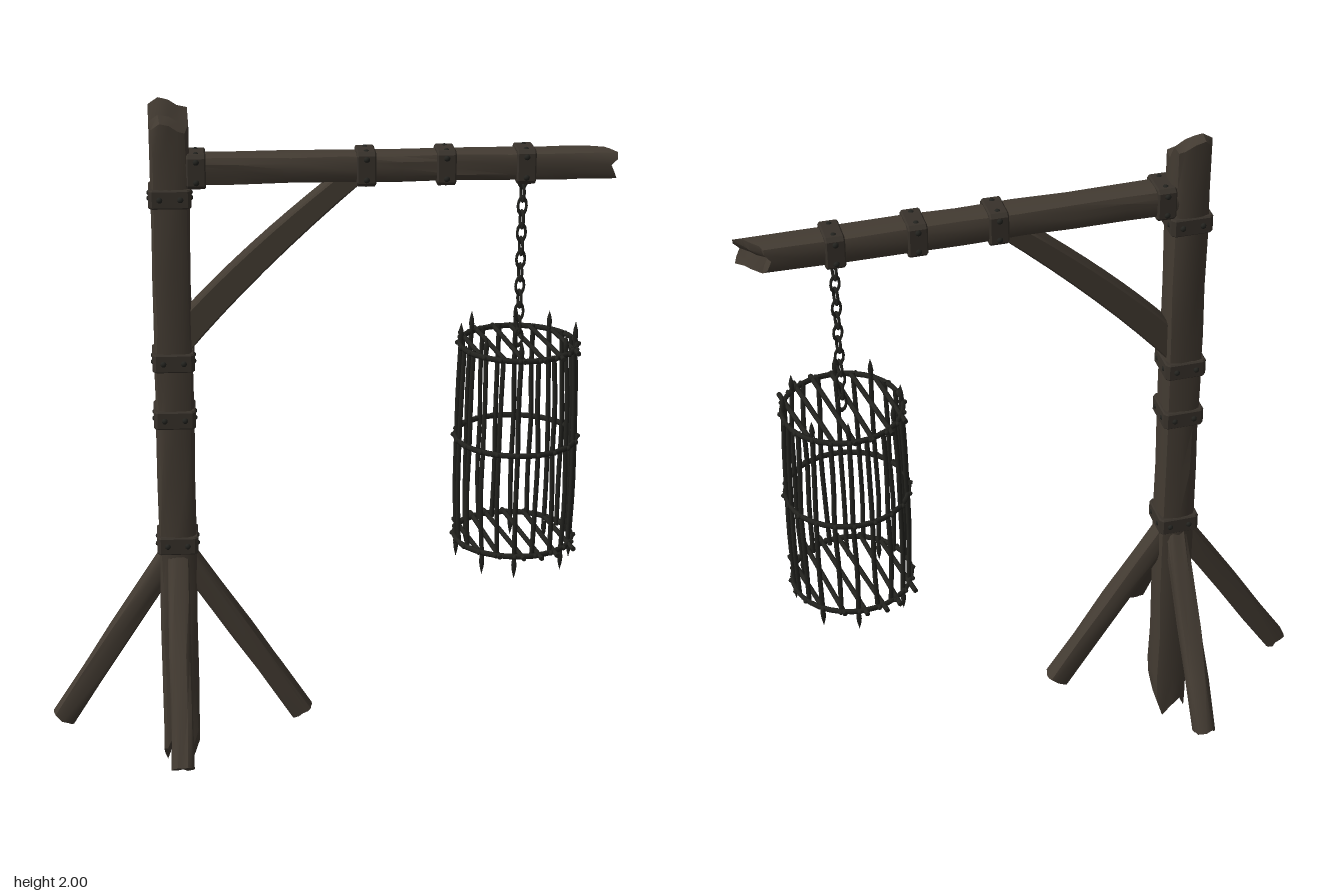
import * as THREE from 'three';
import { toCreasedNormals } from 'three/addons/utils/BufferGeometryUtils.js';

const material = (name, color) => {
  const m = new THREE.MeshStandardMaterial({ color });
  m.name = name;
  return m;
};
const V = (x, y, z) => new THREE.Vector3(x, y, z);
const UP = V(0, 1, 0);

// Repeatable noise in -1..1, the same for every vertex at one spot
function noise(x, y, z, seed) {
  const s = Math.sin(Math.round(x * 1000) * 12.99 + Math.round(y * 1000) * 78.23 + Math.round(z * 1000) * 37.72 + seed * 9.17) * 43758.5453;
  return 2 * (s - Math.floor(s)) - 1;
}
// Value from five steps across a face, for u in -1..1
const step = (table, u) => table[Math.round((u + 1) * 2)];

// Hewn timber along y: worn corners, uneven faces, optional broken ends
function timberGeometry(w, len, d, seed, topCut, bottomCut) {
  const g = new THREE.BoxGeometry(w, len, d, 4, Math.max(4, Math.round(len / 0.15)), 4);
  const p = g.attributes.position;
  for (let i = 0; i < p.count; i++) {
    const x = p.getX(i), y = p.getY(i), z = p.getZ(i);
    const u = (2 * x) / w, v = (2 * z) / d;
    const corner = Math.abs(u) > 0.99 && Math.abs(v) > 0.99 ? 0.86 : 1;
    let ny = y;
    if (y > len / 2 - 1e-4) ny -= topCut ? topCut(u, v) : 0.004 * (1 + noise(x, y, z, seed));
    if (y < -len / 2 + 1e-4) ny += bottomCut ? bottomCut(u, v) : 0.004 * (1 + noise(x, y, z, seed));
    p.setXYZ(i, x * corner + 0.0025 * noise(x, y, z, seed + 1), ny, z * corner + 0.0025 * noise(x, y, z, seed + 2));
  }
  return toCreasedNormals(g, 0.6);
}

export function createModel() {
  const model = new THREE.Group();
  model.name = 'hangingCage';
  const wood = material('darkWood', 0x433b32);
  const strap = material('strapIron', 0x38322b);
  const iron = material('blackIron', 0x23231f);

  const add = (parent, name, geo, mat, pos) => {
    const mesh = new THREE.Mesh(geo, mat);
    mesh.name = name;
    if (pos) mesh.position.copy(pos);
    parent.add(mesh);
    return mesh;
  };
  const group = (name) => {
    const g = new THREE.Group();
    g.name = name;
    model.add(g);
    return g;
  };
  const timber = (name, a, b, w, d, seed, topCut, bottomCut) => {
    const dir = b.clone().sub(a);
    const mesh = add(model, name, timberGeometry(w, dir.length(), d, seed, topCut, bottomCut), wood, a.clone().lerp(b, 0.5));
    mesh.quaternion.setFromUnitVectors(UP, dir.normalize());
  };

  // Post with split ends
  const PX = -0.421;
  timber('post', V(PX, 0, 0), V(PX, 2, 0), 0.103, 0.104, 3,
    (u, v) => step([0.018, 0, 0.006, 0.022, 0.028], u) + step([0.012, 0, 0.045, 0.035, 0.055], v),
    (u, v) => step([0.02, 0.06, 0.03, 0, 0.06], u) + step([0, 0.03, 0.045, 0.07, 0.08], v));

  // Cross beam with a splintered tip
  timber('beam', V(-0.39, 1.812, 0), V(0.787, 1.812, 0), 0.08, 0.088, 7,
    (u, v) => step([0.004, 0.006, 0.022, 0.012, 0.006], u) + step([0.065, 0.06, 0.035, 0.022, 0], v));

  // Gently bowed brace
  const braceShape = new THREE.Shape();
  braceShape.moveTo(-0.39, 1.29);
  braceShape.quadraticCurveTo(-0.19, 1.53, 0.108, 1.785);
  braceShape.lineTo(0.02, 1.785);
  braceShape.quadraticCurveTo(-0.225, 1.59, -0.39, 1.41);
  braceShape.closePath();
  const braceGeo = new THREE.ExtrudeGeometry(braceShape, {
    depth: 0.054, bevelEnabled: true, bevelSize: 0.005, bevelThickness: 0.005, bevelOffset: -0.005, bevelSegments: 1, curveSegments: 8,
  });
  add(model, 'brace', toCreasedNormals(braceGeo, 0.5), wood, V(0, 0, -0.027));

  // Four splayed legs
  [[1, 0], [-1, 0], [0, 1], [0, -1]].forEach(([sx, sz], i) => {
    const reach = sx > 0 ? 0.354 : 0.345;
    const a = V(PX + sx * 0.005, 0.72, sz * 0.005), b = V(PX + sx * reach, 0.187, sz * reach);
    timber('leg', a, b, sx ? 0.066 : 0.06, sx ? 0.06 : 0.066, 11 + i);
  });

  // Iron straps: a bevelled collar with two low rivets on each face
  const collarShape = (s, t) => {
    const c = 0.01, sh = new THREE.Shape();
    sh.setFromPoints([[-s + c, -t], [s - c, -t], [s, -t + c], [s, t - c], [s - c, t], [-s + c, t], [-s, t - c], [-s, -t + c]]
      .map(([x, y]) => new THREE.Vector2(x, y)));
    return sh;
  };
  const rivetGeo = new THREE.SphereGeometry(0.0085, 8, 6);
  function collar(name, pos, s, t) {
    const g = group(name);
    g.position.copy(pos);
    const geo = new THREE.ExtrudeGeometry(collarShape(s, t), {
      depth: 0.044, bevelEnabled: true, bevelSize: 0.004, bevelThickness: 0.004, bevelOffset: -0.004, bevelSegments: 1,
    });
    geo.translate(0, 0, -0.022).rotateX(-Math.PI / 2);
    add(g, 'strapBand', geo, strap);
    for (const e of [-0.028, 0.028]) for (const f of [-1, 1]) {
      add(g, 'rivet', rivetGeo, iron, V(e, 0, f * (t - 0.001)));
      add(g, 'rivet', rivetGeo, iron, V(f * (s - 0.004), 0, e));
    }
    return g;
  }
  for (const y of [0.74, 1.115, 1.28, 1.74]) collar('postStrap', V(PX, y, 0), 0.058, 0.058);
  for (const x of [-0.35, 0.105, 0.32, 0.535]) collar('beamStrap', V(x, 1.812, 0), 0.047, 0.052).rotation.z = -Math.PI / 2;

  // Chain of alternating links
  const CX = 0.533;
  const chain = group('chain');
  const linkGeo = new THREE.TorusGeometry(0.0125, 0.004, 6, 12).scale(1, 1.8, 1);
  for (let i = 0; i < 13; i++) {
    add(chain, 'chainLink', linkGeo, iron, V(CX, 1.318 + i * 0.0375, 0)).rotation.y = (i % 2) * Math.PI / 2 + 0.25;
  }

  // Cage hoops
  const cage = group('cage');
  cage.position.x = CX;
  for (const [y, r] of [[0.73, 0.168], [1.03, 0.17], [1.302, 0.163]]) {
    const hoop = add(cage, 'cageHoop', new THREE.TorusGeometry(r, 0.0065, 6, 32), iron, V(0, y, 0));
    hoop.rotation.x = Math.PI / 2;
    hoop.scale.z = 1.25;
  }

  // Bowed upright bars, two in every five running out into spikes
  const spikeGeo = new THREE.LatheGeometry(
    [[0.006, 0], [0.008, 0.02], [0.006, 0.036], [0, 0.06]].map(([x, y]) => new THREE.Vector2(x, y)), 6);
  const bars = 20;
  for (let i = 0; i < bars; i++) {
    const a = ((i + 0.3) / bars) * Math.PI * 2;
    const at = (y, r, k) => {
      const t = a + 0.025 * noise(i, k, 0, 5);
      return V(Math.cos(t) * r, y, Math.sin(t) * r);
    };
    const pts = [at(0.72, 0.161, 1), at(0.87, 0.167, 2), at(1.03, 0.166, 3), at(1.17, 0.164, 4), at(1.31, 0.158, 5)];
    add(cage, 'cageBar', new THREE.TubeGeometry(new THREE.CatmullRomCurve3(pts), 10, 0.0068, 6), iron);
    if (i % 5 === 0 || i % 5 === 2) {
      add(cage, 'topSpike', spikeGeo, iron, pts[4]).scale.y = 0.9 + 0.12 * noise(i, 1, 1, 2);
      add(cage, 'bottomSpike', spikeGeo, iron, pts[0]).rotation.x = Math.PI;
    }
    // Rivets where the bars meet the hoops
    for (const [y, r] of [[0.73, 0.173], [1.03, 0.175], [1.302, 0.168]]) {
      add(cage, 'hoopRivet', rivetGeo, iron, at(y, r, 9)).scale.setScalar(0.8);
    }
  }

  // Slanted grate bars across floor and roof
  for (const [y, over] of [[0.73, 0.024], [1.302, 0.008]]) {
    for (let i = 0; i < 6; i++) {
      const off = (i - 2.5) * 0.053;
      const half = Math.sqrt(0.168 ** 2 - off ** 2) + over;
      const bar = add(cage, 'grateBar', new THREE.CylinderGeometry(0.007, 0.007, half * 2, 6).rotateX(Math.PI / 2), iron, V(off, y, 0));
      bar.rotation.y = 0.15 + 0.03 * noise(i, y, 0, 4);
    }
  }
  return model;
}
